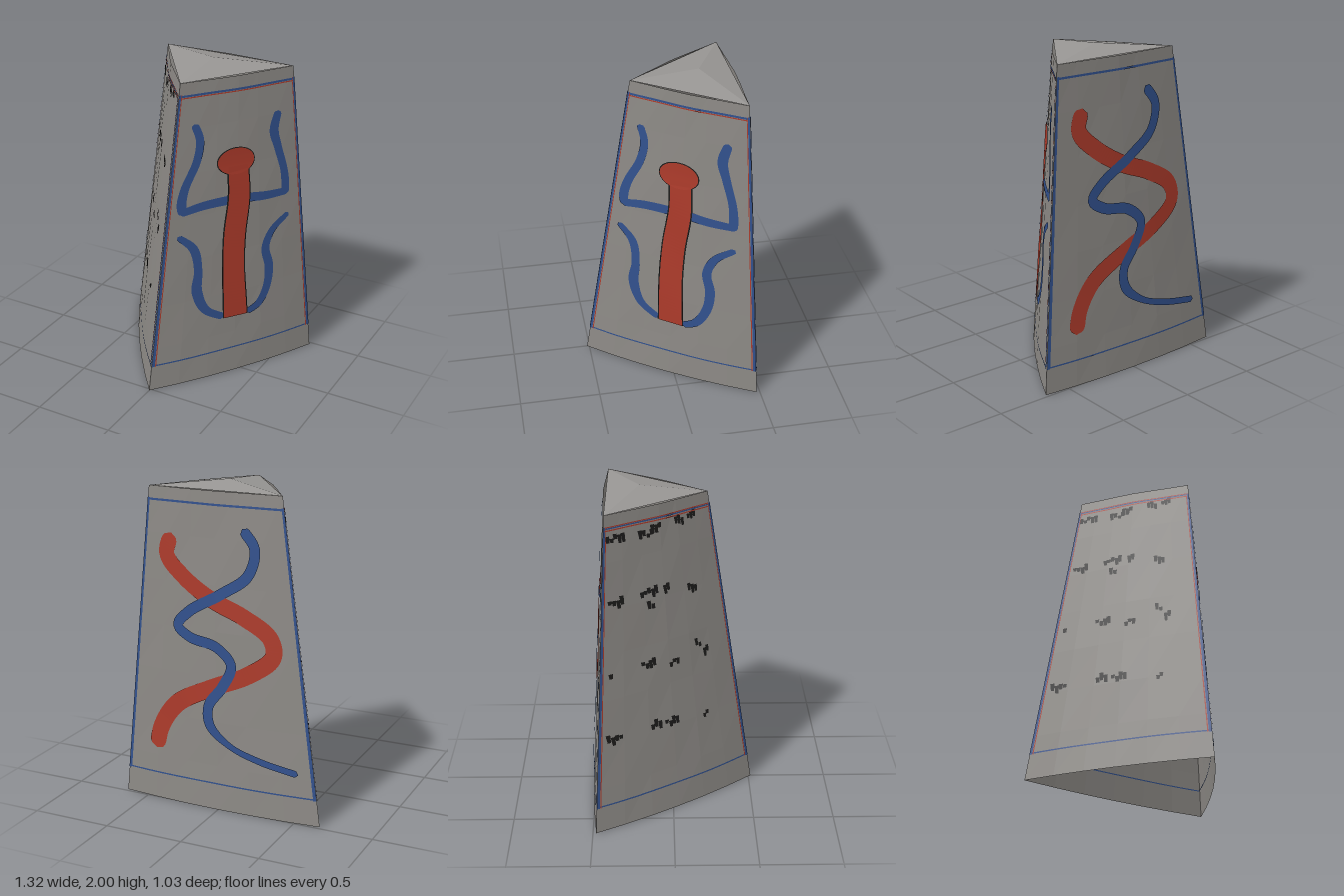
import * as THREE from 'three';

const HEIGHT = 1.96;
const material = (name, color) => {
  const m = new THREE.MeshStandardMaterial({ color, side: THREE.DoubleSide, flatShading: true });
  m.name = name;
  return m;
};

// Corner edges of the pillar as [bottom, top] in x, z
const LEFT = [[-0.66, -0.48], [-0.37, -0.40]];
const RIGHT = [[0.66, -0.48], [0.50, -0.40]];
const FRONT = [[0, 0.515], [0.06, 0.21]];
const corner = (c, y) => {
  const t = y / HEIGHT;
  return new THREE.Vector3(c[0][0] + (c[1][0] - c[0][0]) * t, y, c[0][1] + (c[1][1] - c[0][1]) * t);
};

// Point on a slightly bulging, uneven wall; u runs from corner a to corner b
function wallPoint(wall, u, y, lift = 0) {
  const a = corner(wall.a, y), b = corner(wall.b, y);
  const d = b.clone().sub(a).normalize();
  const bow = 4 * u * (1 - u);
  const out = bow * (0.035 - 0.021 * y / HEIGHT + 0.004 * Math.sin(9 * u + 5 * y) * Math.sin(4 * y)) + lift;
  return a.lerp(b, u).add(new THREE.Vector3(-d.z, 0, d.x).multiplyScalar(out));
}

// Finds u for a position measured along the wall's x or z axis
function findU(wall, h, y) {
  const span = corner(wall.b, y)[wall.axis] - corner(wall.a, y)[wall.axis];
  let u = (h - corner(wall.a, y)[wall.axis]) / span;
  for (let i = 0; i < 4; i++) u += (h - wallPoint(wall, u, y)[wall.axis]) / span;
  return u;
}

function wallGeometry(wall) {
  const g = new THREE.PlaneGeometry(1, 1, 6, 7);
  const p = g.attributes.position;
  for (let i = 0; i < p.count; i++) {
    const v = wallPoint(wall, p.getX(i) + 0.5, (p.getY(i) + 0.5) * HEIGHT);
    p.setXYZ(i, v.x, v.y, v.z);
  }
  g.computeVertexNormals();
  return g;
}

// Painted ribbon following [position, y, width] points over a wall
function ribbon(wall, points, lift, { inU = false, round = false, steps = 48 } = {}) {
  const curve = new THREE.CatmullRomCurve3(points.map(p => new THREE.Vector3(...p)));
  const length = curve.getLength();
  const pos = [], index = [];
  for (let i = 0; i <= steps; i++) {
    const c = curve.getPointAt(i / steps), t = curve.getTangentAt(i / steps);
    const len = Math.hypot(t.x, t.y) || 1;
    const end = Math.min(i, steps - i) / steps * length / (c.z / 2);
    const w = round && end < 1 ? c.z * Math.sqrt(end * (2 - end)) : c.z;
    for (const s of [-0.5, 0.5]) {
      const h = c.x - t.y / len * w * s, y = c.y + t.x / len * w * s;
      pos.push(...wallPoint(wall, inU ? h : findU(wall, h, y), y, lift).toArray());
    }
    if (i < steps) {
      const k = i * 2;
      index.push(k, k + 2, k + 1, k + 1, k + 2, k + 3);
    }
  }
  const g = new THREE.BufferGeometry();
  g.setAttribute('position', new THREE.Float32BufferAttribute(pos, 3));
  g.setIndex(index);
  g.computeVertexNormals();
  return g;
}

export function createModel() {
  const group = new THREE.Group();
  const stone = material('stone', 0x8c8985);
  const capStone = material('cap stone', 0x979593);
  const red = material('red paint', 0xab3a2a);
  const blue = material('blue paint', 0x31508c);
  const dark = material('dark marks', 0x1c1b1a);
  const walls = {
    left: { a: LEFT, b: FRONT, axis: 'x' },
    right: { a: FRONT, b: RIGHT, axis: 'z' },
    back: { a: RIGHT, b: LEFT, axis: 'x' },
  };
  const add = (name, geometry, mat) => {
    const m = new THREE.Mesh(geometry, mat);
    m.name = name;
    group.add(m);
  };

  // Walls with border lines along the corners, top and bottom; the underside stays open
  for (const [side, wall] of Object.entries(walls)) {
    add(side + 'Wall', wallGeometry(wall), stone);
    const line = (name, from, to, w, mat, lift = 0.004) =>
      add(name, ribbon(wall, [[...from, w], [...to, w]], lift, { inU: true, steps: 16 }), mat);
    const upright = (name, inset, w, mat) => {
      for (const u of [inset, 1 - inset]) line(name, [u, 0.16], [u, 1.89], w, mat);
    };
    const level = (name, y, w, mat, lift) => line(name, [0.006, y], [0.994, y], w, mat, lift);
    upright(side + 'Border', 0.008, 0.016, blue);
    level(side + 'BottomBorder', 0.168, 0.009, blue);
    level(side + 'InnerBorder', 0.168, 0.007, blue, -0.004);
    level(side + 'TopBorder', 1.88, side === 'left' ? 0.008 : 0.013, blue);
    if (side === 'back') continue;
    upright(side + 'RedEdge', 0.021, 0.006, red);
    level(side + 'RedTopLine', 1.868, 0.007, red);
    if (side === 'left') level('leftRedUpperLine', 1.888, 0.006, red);
  }

  // Low three-sided cap with straight edges
  const tops = [LEFT, FRONT, RIGHT].map(c => corner(c, HEIGHT));
  const apex = new THREE.Vector3(0.06, 2, -0.2);
  const capPoints = [];
  tops.forEach((p, i) => capPoints.push(p, tops[(i + 1) % 3], apex));
  const cap = new THREE.BufferGeometry().setFromPoints(capPoints);
  cap.computeVertexNormals();
  add('cap', cap, capStone);

  // Right wall: painted figure with dark rims
  const R = walls.right;
  const body = [[0.015, 0.39, 0.13], [0.01, 0.7, 0.122], [-0.01, 0.95, 0.118],
    [-0.045, 1.2, 0.115], [-0.05, 1.4, 0.112]];
  add('figureBody', ribbon(R, body, 0.009), red);
  add('figureBodyRim', ribbon(R, body.map(([h, y, w]) => [h, y, w + 0.014]), 0.007), dark);
  const disc = (rx, ry) => Array.from({ length: 13 }, (_, i) => {
    const a = Math.PI * i / 12;
    return [-0.042, 1.432 - ry * Math.cos(a), 2 * rx * Math.sin(a)];
  });
  add('figureHead', ribbon(R, disc(0.102, 0.083), 0.0094), red);
  add('figureHeadRim', ribbon(R, disc(0.107, 0.088), 0.007), dark);
  const limbs = {
    frontArm: [[0.16, 1.705, 0.04], [0.14, 1.6, 0.042], [0.165, 1.47, 0.042], [0.235, 1.31, 0.045], [0.26, 1.21, 0.05], [0.256, 1.14, 0.05]],
    backArm: [[-0.3, 1.7, 0.045], [-0.27, 1.58, 0.055], [-0.29, 1.47, 0.047], [-0.325, 1.31, 0.045], [-0.332, 1.21, 0.05], [-0.328, 1.14, 0.05]],
    shoulders: [[0.275, 1.155, 0.045], [0.14, 1.18, 0.055], [-0.045, 1.185, 0.06], [-0.205, 1.165, 0.055], [-0.35, 1.16, 0.045]],
    frontLeg: [[0.295, 1.01, 0.035], [0.22, 0.91, 0.048], [0.205, 0.76, 0.045], [0.22, 0.62, 0.057], [0.18, 0.48, 0.05], [0.08, 0.4, 0.045]],
    backLeg: [[-0.345, 1.01, 0.035], [-0.235, 0.92, 0.045], [-0.19, 0.81, 0.05], [-0.208, 0.68, 0.055], [-0.19, 0.55, 0.052], [-0.13, 0.44, 0.05], [-0.05, 0.395, 0.045]],
  };
  for (const [name, path] of Object.entries(limbs)) add(name, ribbon(R, path, 0.006, { round: true, steps: 64 }), blue);

  // Back wall: two crossing serpents
  const along = (path, width, tail) => path.map(([x, y], i) =>
    [x, y, i > path.length - 4 ? tail : width]);
  add('redSerpent', ribbon(walls.back, along([[0.34, 1.69], [0.37, 1.56], [0.26, 1.44], [0.07, 1.32],
    [-0.15, 1.23], [-0.32, 1.12], [-0.34, 1.01], [-0.18, 0.88], [0.06, 0.77], [0.29, 0.64],
    [0.4, 0.48], [0.435, 0.33]], 0.105, 0.112), 0.006, { round: true, steps: 120 }), red);
  add('blueSerpent', ribbon(walls.back, along([[-0.13, 1.755], [-0.21, 1.64], [-0.17, 1.48], [0, 1.355],
    [0.21, 1.23], [0.29, 1.135], [0.205, 1.07], [0.025, 1.03], [-0.075, 0.93], [-0.02, 0.79],
    [0.07, 0.66], [0.06, 0.54], [-0.07, 0.43], [-0.27, 0.36], [-0.52, 0.31]], 0.066, 0.042), 0.009, { round: true, steps: 140 }), blue);

  // Left wall: clusters of worn dark chips as [x, y, count]
  const clusters = [[-0.35, 1.815, 5], [-0.24, 1.8, 4], [-0.2, 1.825, 3], [-0.1, 1.835, 3], [-0.04, 1.85, 3],
    [-0.4, 1.43, 4], [-0.28, 1.45, 5], [-0.285, 1.36, 2], [-0.21, 1.45, 2], [-0.1, 1.4, 3],
    [-0.48, 1.0, 1], [-0.34, 1.0, 4], [-0.245, 0.97, 3], [-0.13, 1.04, 2], [-0.1, 0.98, 2],
    [-0.52, 0.585, 4], [-0.37, 0.6, 3], [-0.31, 0.59, 4], [-0.16, 0.56, 2]];
  clusters.forEach(([cx, cy, count], k) => {
    for (let i = 0; i < count; i++) {
      const x = cx + (i - (count - 1) / 2) * 0.014;
      const y = cy + 0.012 * Math.sin(i * 4 + k * 3), half = 0.02 + 0.008 * Math.sin(i * 5 + k);
      add('wornChip', ribbon(walls.left, [[x, y - half, 0.011], [x + 0.002, y + half, 0.015]], 0.004, { steps: 4 }), dark);
    }
  });
  return group;
}
